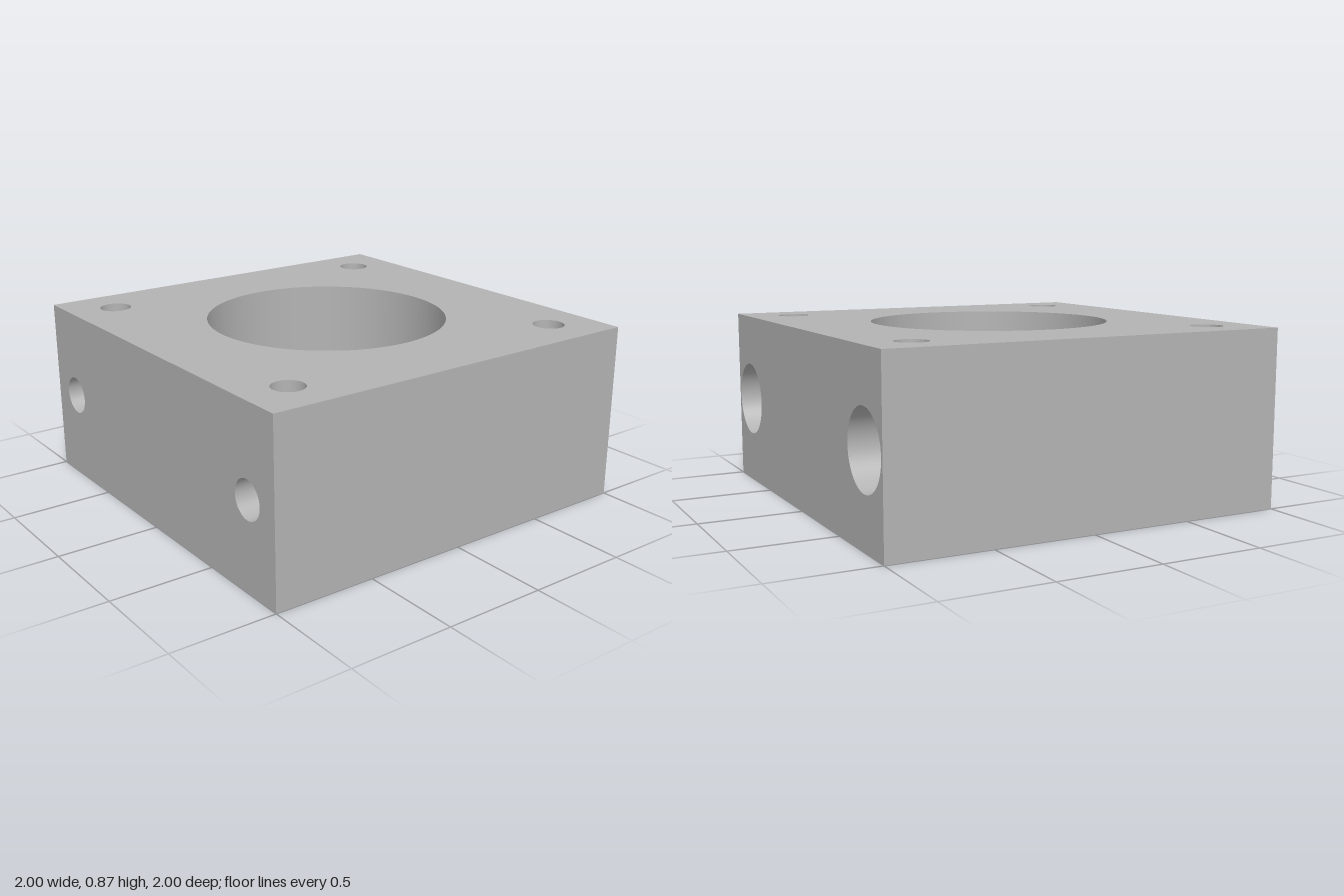
import * as THREE from 'three';

const H = 0.87, MID = H / 2;                      // block height, cross-bore height
const SEAT_R = 0.59, SEAT_Y = 0.505, SHAFT_R = 0.255;
const BOLT_R = 0.077, BOLT = 0.767;               // vertical bolt holes at (+-BOLT, +-BOLT)
const NUT_R = 0.14, NUT_H = 0.154;                // hexagonal nut pockets underneath
const ROD_R = 0.093, ROD_Z = 0.8;                 // cross bores along x
const HEAD_R = 0.185, HEAD_X = 0.785;             // counterbores on the +x side
const SEG = 96;

const chord = (r, d) => Math.sqrt(Math.max(0, r * r - d * d));

export function createModel() {
  const model = new THREE.Group();
  model.name = 'mountingBlock';
  const grey = new THREE.MeshStandardMaterial({ color: 0xb3b3b3, side: THREE.DoubleSide });
  grey.name = 'grey';

  const add = (name, geometry, parent = model) => {
    const mesh = new THREE.Mesh(geometry, grey);
    mesh.name = name;
    parent.add(mesh);
    return mesh;
  };

  const circle = (x, y, r, n = SEG) => {
    const pts = [];
    for (let i = 0; i < n; i++) {
      const a = (i / n) * Math.PI * 2;
      pts.push(new THREE.Vector2(x + r * Math.cos(a), y + r * Math.sin(a)));
    }
    return new THREE.Path(pts);
  };

  // Rectangular face with holes, centred on the origin and facing +z
  const plate = (w, h, holes) => {
    const s = new THREE.Shape([[-1, -1], [1, -1], [1, 1], [-1, 1]]
      .map(([x, y]) => new THREE.Vector2(x * w / 2, y * h / 2)));
    s.holes.push(...holes);
    return new THREE.ShapeGeometry(s);
  };

  // Inward-facing bore wall; lo and hi give its ends along the axis at each point
  const wall = (axis, u, z, r, lo, hi, extraAngles = []) => {
    const angles = Array.from({ length: SEG + 1 }, (_, i) => (i / SEG) * Math.PI * 2);
    angles.push(...extraAngles);
    angles.sort((a, b) => a - b);
    const pos = [], nor = [], idx = [];
    angles.forEach((a, i) => {
      const c = Math.cos(a), s = Math.sin(a);
      const pu = u + r * (axis === 'y' ? c : s), pz = z + r * (axis === 'y' ? s : c);
      for (const t of [lo(pu, pz), hi(pu, pz)]) {
        pos.push(...(axis === 'y' ? [pu, t, pz] : [t, pu, pz]));
        nor.push(...(axis === 'y' ? [-c, 0, -s] : [0, -s, -c]));
      }
      const k = 2 * i;
      if (i < angles.length - 1) idx.push(k, k + 2, k + 1, k + 1, k + 2, k + 3);
    });
    const g = new THREE.BufferGeometry();
    g.setAttribute('position', new THREE.Float32BufferAttribute(pos, 3));
    g.setAttribute('normal', new THREE.Float32BufferAttribute(nor, 3));
    g.setIndex(idx);
    return g;
  };

  const corners = [[1, 1], [1, -1], [-1, 1], [-1, -1]];
  const atCorners = (r, n) => corners.map(([x, z]) => circle(x * BOLT, z * BOLT, r, n));
  const pair = (r) => [-1, 1].map((s) => circle(s * ROD_Z, 0, r));

  // Outer faces
  add('topFace', plate(2, 2, [circle(0, 0, SEAT_R), ...atCorners(BOLT_R)])
    .rotateX(-Math.PI / 2).translate(0, H, 0));
  add('bottomFace', plate(2, 2, [circle(0, 0, SHAFT_R), ...atCorners(NUT_R, 6)]).rotateX(Math.PI / 2));
  add('frontFace', plate(2, H, []).translate(0, MID, 1));
  add('backFace', plate(2, H, []).rotateY(Math.PI).translate(0, MID, -1));
  add('leftFace', plate(2, H, pair(HEAD_R)).rotateY(Math.PI / 2).translate(1, MID, 0));
  add('rightFace', plate(2, H, pair(ROD_R)).rotateY(-Math.PI / 2).translate(-1, MID, 0));

  // Central seat and shaft hole
  add('seatWall', wall('y', 0, 0, SEAT_R, () => SEAT_Y, () => H));
  add('seatFloor', new THREE.RingGeometry(SHAFT_R, SEAT_R, SEG).rotateX(-Math.PI / 2).translate(0, SEAT_Y, 0));
  add('shaftWall', wall('y', 0, 0, SHAFT_R, () => 0, () => SEAT_Y));

  // Bolt holes, opened where the cross bores pass through them, with nut pockets
  for (const [sx, sz] of corners) {
    const hole = new THREE.Group();
    hole.name = 'boltHole';
    model.add(hole);
    const x = sx * BOLT, z = sz * BOLT;
    const gap = (px, pz) => chord(px > HEAD_X ? HEAD_R : ROD_R, Math.abs(pz) - ROD_Z);
    const a = Math.acos((HEAD_X - BOLT) / BOLT_R), e = 1e-4;
    const steps = sx > 0 ? [a - e, a + e, 2 * Math.PI - a - e, 2 * Math.PI - a + e] : [];
    add('boltWallLower', wall('y', x, z, BOLT_R, () => NUT_H, (px, pz) => MID - gap(px, pz), steps), hole);
    add('boltWallUpper', wall('y', x, z, BOLT_R, (px, pz) => MID + gap(px, pz), () => H, steps), hole);

    const hex = new THREE.CylinderGeometry(NUT_R, NUT_R, NUT_H, 6, 1, true, Math.PI / 2).toNonIndexed();
    hex.computeVertexNormals();
    add('nutPocketWall', hex.translate(x, NUT_H / 2, z), hole);
    const roof = new THREE.Shape(circle(0, 0, NUT_R, 6).getPoints());
    roof.holes.push(circle(0, 0, BOLT_R));
    add('nutPocketRoof', new THREE.ShapeGeometry(roof).rotateX(Math.PI / 2).translate(x, NUT_H, z), hole);
  }

  // Cross bores with counterbores, opened where the bolt holes pass through them
  for (const s of [-1, 1]) {
    const bore = new THREE.Group();
    bore.name = 'crossBore';
    model.add(bore);
    const z = s * ROD_Z;
    const gap = (pu, pz) => chord(BOLT_R, Math.abs(pz) - BOLT);
    const past = (pu, pz) => Math.max(HEAD_X, BOLT + gap(pu, pz));
    add('rodWallOuter', wall('x', MID, z, ROD_R, () => -1, (u, v) => -BOLT - gap(u, v)), bore);
    add('rodWallMiddle', wall('x', MID, z, ROD_R, (u, v) => -BOLT + gap(u, v), (u, v) => BOLT - gap(u, v)), bore);
    add('rodWallInner', wall('x', MID, z, ROD_R,
      (u, v) => Math.min(HEAD_X, BOLT + gap(u, v)), () => HEAD_X), bore);
    add('counterboreWall', wall('x', MID, z, HEAD_R, past, () => 1), bore);

    // Counterbore floor: the two parts left beside the bolt hole
    const w = chord(BOLT_R, HEAD_X - BOLT);
    const near = BOLT - w - ROD_Z, far = BOLT + w - ROD_Z;
    const a = Math.acos(near / HEAD_R), b = Math.acos(far / HEAD_R), c = Math.acos(far / ROD_R);
    const inner = new THREE.Shape();
    inner.absarc(0, 0, HEAD_R, a, 2 * Math.PI - a, false);
    const outer = new THREE.Shape();
    outer.absarc(0, 0, HEAD_R, -b, b, false);
    outer.absarc(0, 0, ROD_R, c, -c, true);
    const floor = new THREE.ShapeGeometry([inner, outer], 48);
    if (s > 0) floor.rotateZ(Math.PI);
    add('counterboreFloor', floor.rotateY(Math.PI / 2).translate(HEAD_X, MID, z), bore);
  }
  return model;
}
